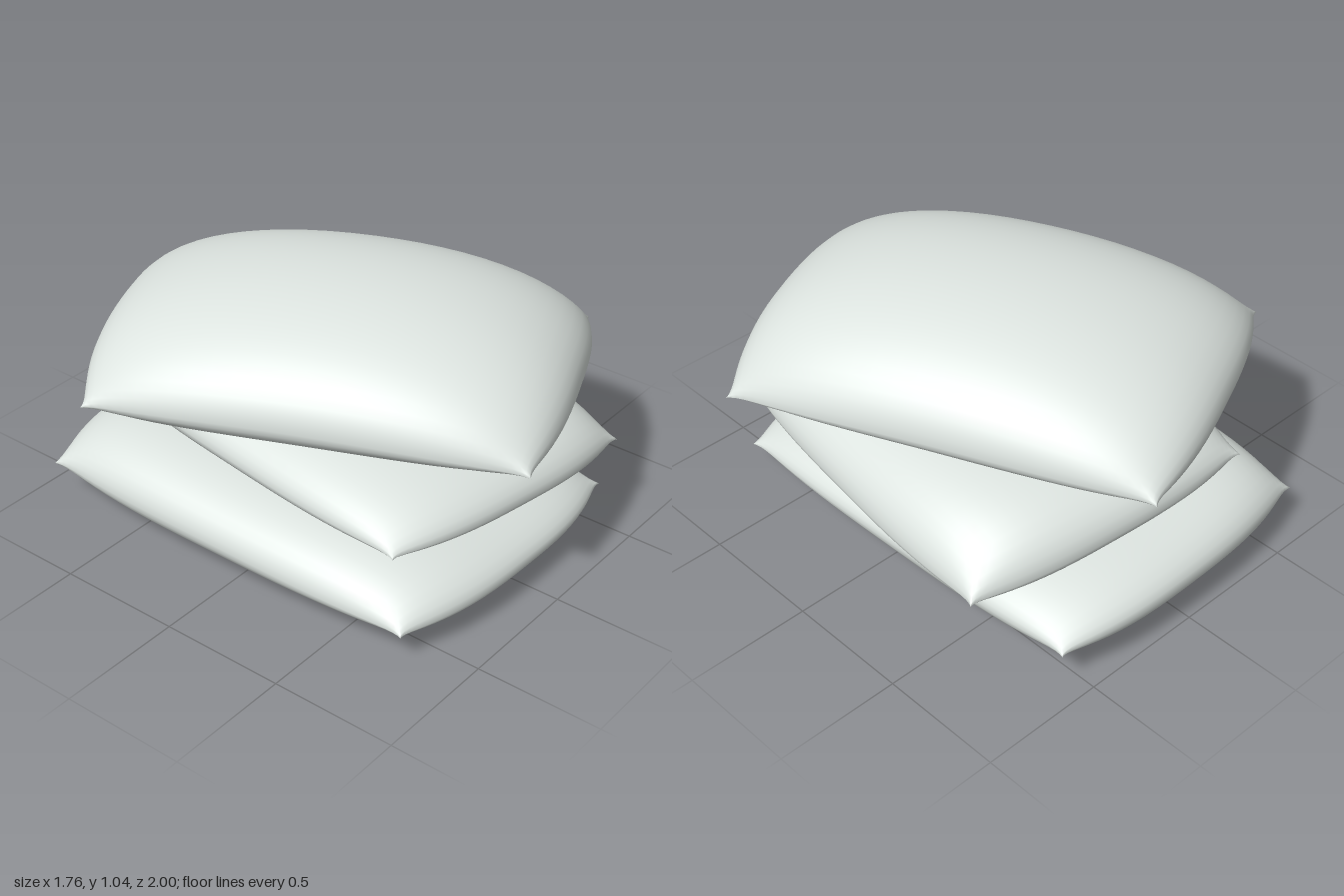
import * as THREE from 'three';
import { mergeVertices } from 'three/addons/utils/BufferGeometryUtils.js';

const N = 30;
const EAR = 0.02; // how far the corner tips stand out from the edges

// Outward offset along an edge: convex in the middle, pinched beside the tips
const edgeCurve = (t, bulge) => (bulge + EAR) * (1 - Math.abs(t) ** 2.7) - EAR * (1 - t ** 24);

// Stuffed cushion: two bulging sheets sewn along a four-cornered seam.
// corners run back -x, back +x, front +x, front -x; bulge is sides, back, front
function cushionGeometry({ corners, bulge, rise, top, bottom, topPower, bottomPower }) {
  const [a, b, c, d] = corners.map((p) => new THREE.Vector3(...p));
  const across = b.clone().add(c).sub(a).sub(d).setY(0).normalize();
  const along = c.clone().add(d).sub(a).sub(b).setY(0).normalize();
  const positions = [];
  const index = [];

  const fill = (u, v, p) => Math.sqrt(Math.max(0, (1 - Math.abs(u) ** p) * (1 - Math.abs(v) ** p)));

  for (const side of [1, -1]) {
    const start = positions.length / 3;
    for (let i = 0; i <= N; i++) {
      for (let j = 0; j <= N; j++) {
        // closer spacing at the rim keeps the edge round
        const u = Math.sin((i / N - 0.5) * Math.PI);
        const v = Math.sin((j / N - 0.5) * Math.PI);
        const back = a.clone().lerp(b, (u + 1) / 2);
        const front = d.clone().lerp(c, (u + 1) / 2);
        const p = back.lerp(front, (v + 1) / 2);
        p.addScaledVector(across, u * edgeCurve(v, bulge[0]));
        p.addScaledVector(along, v * edgeCurve(u, v < 0 ? bulge[1] : bulge[2]));
        // seam lifts between the drooping corners
        p.y += rise * (1 - u * u * v * v);
        const [y0, sx, sz] = side > 0 ? top : bottom;
        const target = y0 + sx * p.x + sz * p.z;
        p.y += (target - p.y) * fill(u, v, side > 0 ? topPower : bottomPower);
        positions.push(p.x, p.y, p.z);
      }
    }
    for (let i = 0; i < N; i++) {
      for (let j = 0; j < N; j++) {
        const k = start + i * (N + 1) + j;
        const r = k + N + 1;
        if (side > 0) index.push(k, k + 1, r, k + 1, r + 1, r);
        else index.push(k, r, k + 1, k + 1, r, r + 1);
      }
    }
  }

  let geometry = new THREE.BufferGeometry();
  geometry.setAttribute('position', new THREE.Float32BufferAttribute(positions, 3));
  geometry.setIndex(index);
  geometry = mergeVertices(geometry, 1e-4); // join the sheets along the seam
  geometry.computeVertexNormals();
  return geometry;
}

// top and bottom: height at the centre, slope in x, slope in z
const cushions = {
  bottomCushion: {
    corners: [[-0.675, 0.16, -0.9], [0.59, 0.16, -0.93], [0.605, 0.1, 0.79], [-0.655, 0.12, 0.775]],
    bulge: [0.03, 0.075, 0.1], rise: 0.02,
    top: [0.313, -0.055, -0.04], bottom: [0.004, 0, 0.01],
    topPower: 4, bottomPower: 3.6,
  },
  middleCushion: {
    corners: [[-0.41, 0.45, -0.85], [0.788, 0.36, -0.68], [0.565, 0.36, 0.875], [-0.648, 0.43, 0.73]],
    bulge: [0.042, 0.065, 0.075], rise: 0.022,
    top: [0.63, -0.01, -0.04], bottom: [0.312, -0.07, 0],
    topPower: 3.5, bottomPower: 4.2,
  },
  topCushion: {
    corners: [[-0.885, 0.675, -0.5], [0.22, 0.67, -1], [0.88, 0.63, 0.53], [-0.23, 0.655, 1]],
    bulge: [0.042, 0.07, 0.07], rise: 0.055,
    top: [1.045, 0, 0], bottom: [0.607, 0, 0],
    topPower: 2.05, bottomPower: 7,
  },
};

export function createModel() {
  const group = new THREE.Group();
  group.name = 'cushionStack';
  const material = new THREE.MeshStandardMaterial({ color: 0xdde4e0 });
  for (const [name, spec] of Object.entries(cushions)) {
    const mesh = new THREE.Mesh(cushionGeometry(spec), material);
    mesh.name = name;
    group.add(mesh);
  }
  return group;
}
